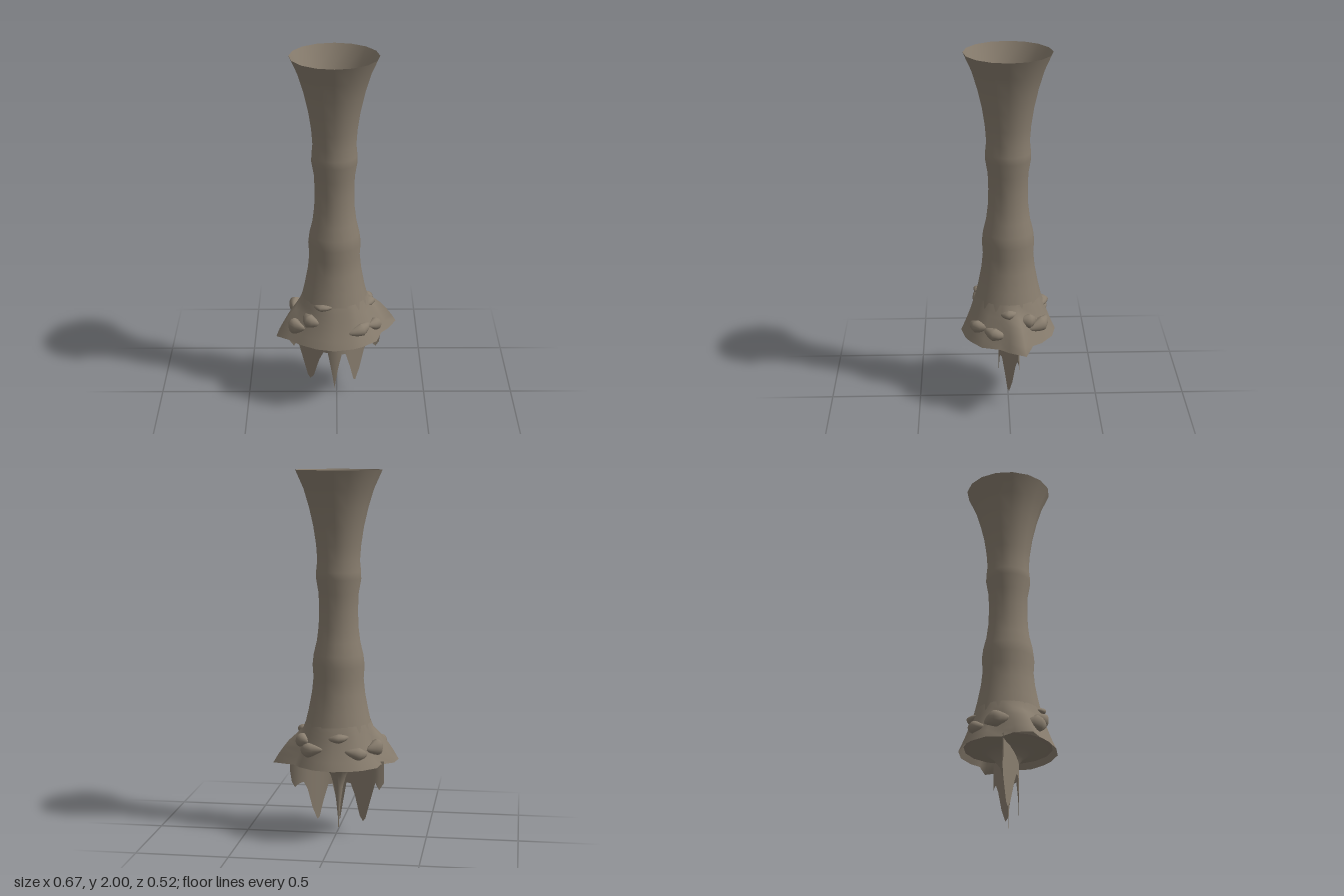
import * as THREE from 'three';

const CX = -0.012; // axis of the stem

// Joins rows of points into one smooth surface; closed rows wrap around
function loft(rows, closed) {
  const n = rows[0].length, index = [];
  for (let i = 0; i < rows.length - 1; i++) {
    for (let j = 0; j < (closed ? n : n - 1); j++) {
      const k = (j + 1) % n;
      const a = i * n + j, b = i * n + k, c = a + n, d = b + n;
      index.push(a, b, c, b, d, c);
    }
  }
  const geo = new THREE.BufferGeometry();
  geo.setAttribute('position', new THREE.Float32BufferAttribute(rows.flat(2), 3));
  geo.setIndex(index);
  geo.computeVertexNormals();
  return geo;
}

export function createModel() {
  const group = new THREE.Group();
  const bark = new THREE.MeshStandardMaterial({ color: 0x887d6e, side: THREE.DoubleSide });
  bark.name = 'grey brown bark';

  const add = (name, geo, x = CX, y = 0, z = 0) => {
    const mesh = new THREE.Mesh(geo, bark);
    mesh.name = name;
    mesh.position.set(x, y, z);
    group.add(mesh);
    return mesh;
  };
  const lathe = (points, sides) =>
    new THREE.LatheGeometry(points.map(([r, y]) => new THREE.Vector2(r, y)), sides);

  // Hollow stem with two swollen joints and a flared mouth
  add('stem', lathe([
    [0.189, 0.6], [0.165, 0.7], [0.146, 0.8], [0.138, 0.88], [0.143, 0.95], [0.136, 1.01],
    [0.119, 1.08], [0.109, 1.16], [0.106, 1.25], [0.109, 1.34], [0.123, 1.42], [0.122, 1.46],
    [0.116, 1.52], [0.122, 1.6], [0.137, 1.7], [0.16, 1.8], [0.19, 1.9], [0.235, 2],
  ], 16));

  // Flared foot: a round skirt that swells out into two opposite spurs
  const outline = [
    [-0.012, 0.262], [0.09, 0.24], [0.14, 0.215], [0.22, 0.15], [0.25, 0.05], [0.29, 0],
    [0.335, -0.09], [0.21, -0.13], [0.175, -0.18], [0.09, -0.24], [-0.012, -0.262],
    [-0.11, -0.24], [-0.17, -0.21], [-0.24, -0.14], [-0.25, -0.06], [-0.32, 0],
    [-0.335, 0.09], [-0.27, 0.13], [-0.2, 0.19], [-0.11, 0.24],
  ];
  // height, round radius, share of the spur
  const levels = [
    [0.415, 0.262, 1], [0.46, 0.242, 0.93], [0.5, 0.226, 0.8], [0.54, 0.211, 0.62],
    [0.575, 0.2, 0.32], [0.605, 0.19, 0.05], [0.64, 0.179, 0],
  ];
  add('footSkirt', loft(levels.map(([y, r, share]) => outline.map(([x, z]) => {
    const d = Math.hypot(x - CX, z);
    const s = (r + (d - 0.262) * share) / d;
    return [(x - CX) * s, y, z * s];
  })), true));

  // Floor closing the foot, drawn down into a thin tap root
  add('floorAndTapRoot', lathe([
    [0, 0], [0.004, 0.1], [0.012, 0.18], [0.025, 0.27], [0.045, 0.34], [0.08, 0.385],
    [0.12, 0.415], [0.235, 0.44],
  ], 16));

  // Rounded core standing on the floor inside the stem
  add('innerCore', lathe([
    [0.044, 0.34], [0.04, 0.4], [0.024, 0.44], [0.022, 0.47], [0.014, 0.495], [0, 0.505],
  ], 10));

  // Leaf-shaped growths wrapped round the foot: angle, height, radius, length, thickness, tilt
  const growths = [
    [50, 0.5, 0.225, 0.085, 0.035, 0.12], [20, 0.49, 0.24, 0.07, 0.035, -0.2],
    [150, 0.5, 0.255, 0.075, 0.045, 0.15], [130, 0.55, 0.215, 0.06, 0.04, -0.2],
    [112, 0.63, 0.172, 0.07, 0.02, 0.1], [202, 0.52, 0.24, 0.07, 0.045, 0.1],
    [235, 0.5, 0.23, 0.07, 0.035, -0.2], [262, 0.58, 0.19, 0.07, 0.025, 0.1],
    [308, 0.51, 0.225, 0.085, 0.04, 0.15], [330, 0.55, 0.215, 0.06, 0.04, -0.15],
    [0, 0.59, 0.19, 0.06, 0.025, 0.1],
  ];
  for (const [deg, y, r, length, thick, tilt] of growths) {
    const geo = new THREE.SphereGeometry(1, 12, 8);
    const p = geo.attributes.position;
    // pinch both ends to points
    for (let i = 0; i < p.count; i++) {
      const pinch = 1 - 0.45 * Math.abs(p.getX(i));
      p.setY(i, p.getY(i) * pinch);
      p.setZ(i, p.getZ(i) * pinch - 0.7 * p.getX(i) ** 2);
    }
    geo.scale(length, thick, 0.036);
    geo.computeVertexNormals();
    const a = THREE.MathUtils.degToRad(deg);
    const mesh = add('footGrowth', geo, CX + r * Math.cos(a), y, r * Math.sin(a));
    mesh.rotation.set(0, Math.PI / 2 - a, tilt, 'YXZ');
  }

  // Wavy curtain of hanging roots: x and height of the ragged lower edge
  const edge = [
    [-0.27, 0.31], [-0.243, 0.27], [-0.222, 0.31], [-0.2, 0.23], [-0.165, 0.1], [-0.15, 0.08],
    [-0.13, 0.11], [-0.1, 0.22], [-0.075, 0.28], [-0.05, 0.28], [-0.03, 0.17], [-0.012, 0.06],
    [0.005, 0.17], [0.028, 0.27], [0.05, 0.27], [0.075, 0.18], [0.095, 0.09], [0.106, 0.08],
    [0.13, 0.15], [0.155, 0.26], [0.175, 0.3], [0.2, 0.29], [0.222, 0.27], [0.24, 0.3], [0.25, 0.36],
  ];
  add('rootCurtain', loft([0, 0.35, 0.7, 1].map((t) => edge.map(([x, y]) => [
    x,
    THREE.MathUtils.lerp(y, 0.432, t),
    0.055 * Math.cos((x - CX) * Math.PI * 2 / 0.46),
  ])), false), 0);

  return group;
}
